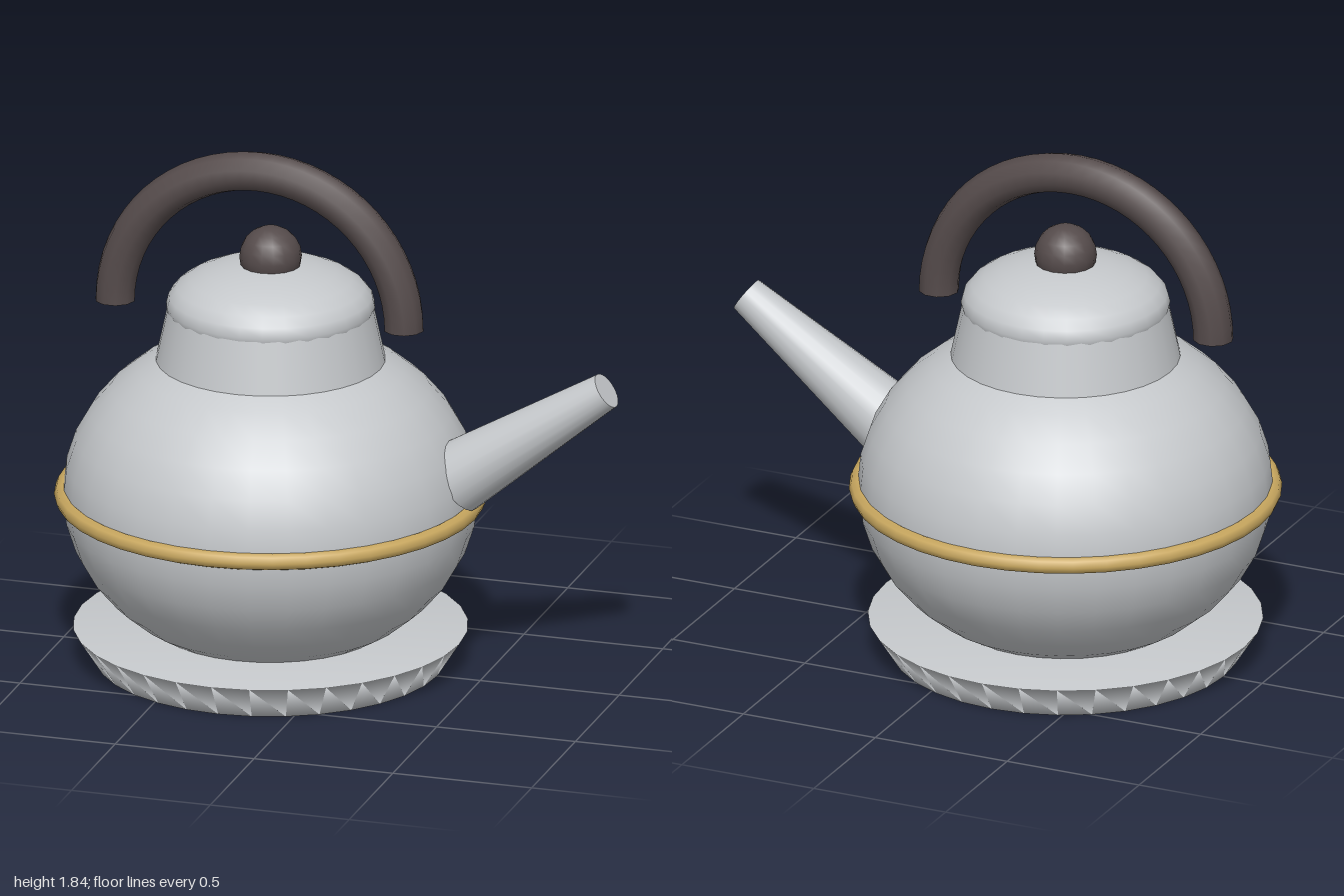
import * as THREE from 'three';

const CX = -0.255; // axis of the pot

export function createModel() {
  const group = new THREE.Group();
  group.name = 'teapot';
  const mat = (name, color) => {
    const m = new THREE.MeshStandardMaterial({ color });
    m.name = name;
    return m;
  };
  const metal = mat('pale metal', 0xc5c8cb);
  const dark = mat('dark wood', 0x554b4b);
  const gold = mat('gold', 0xc8a75f);

  const add = (name, geometry, material, x, y) => {
    const mesh = new THREE.Mesh(geometry, material);
    mesh.name = name;
    mesh.position.set(x, y, 0);
    group.add(mesh);
    return mesh;
  };

  // Flared base dish with softly shaded edges
  const dish = [[0, 0], [0.6, 0], [0.68, 0.125], [0, 0.125]].map(p => new THREE.Vector2(...p));
  add('base', new THREE.LatheGeometry(dish, 32), metal, CX, 0);

  // Squashed round body and the band around its middle
  add('body', new THREE.SphereGeometry(0.715, 32, 18).scale(1, 0.585 / 0.715, 1), metal, CX, 0.61);
  add('band', new THREE.TorusGeometry(0.715, 0.03, 8, 40).rotateX(Math.PI / 2), gold, CX, 0.605);

  // Tapered neck, domed lid and knob
  add('neck', new THREE.CylinderGeometry(0.352, 0.395, 0.2, 32), metal, CX, 1.195);
  add('lid', new THREE.SphereGeometry(0.36, 28, 14).scale(1, 0.155 / 0.36, 1), metal, CX, 1.29);
  add('knob', new THREE.SphereGeometry(0.108, 16, 10), dark, CX, 1.467);

  // Straight tapered spout
  const from = new THREE.Vector3(0.413, 0.73, 0);
  const to = new THREE.Vector3(0.955, 1.105, 0);
  const axis = to.clone().sub(from);
  const spout = add('spout', new THREE.CylinderGeometry(0.065, 0.128, axis.length(), 20), metal, 0, 0);
  spout.position.copy(from).add(to).multiplyScalar(0.5);
  spout.quaternion.setFromUnitVectors(new THREE.Vector3(0, 1, 0), axis.normalize());

  // Half-ring handle with closed ends
  const R = 0.52, r = 0.07, hx = -0.295, hy = 1.25;
  add('handle', new THREE.TorusGeometry(R, r, 10, 32, Math.PI), dark, hx, hy);
  for (const side of [-1, 1]) {
    add('handleEnd', new THREE.CircleGeometry(r, 10).rotateX(Math.PI / 2), dark, hx + side * R, hy);
  }

  return group;
}
